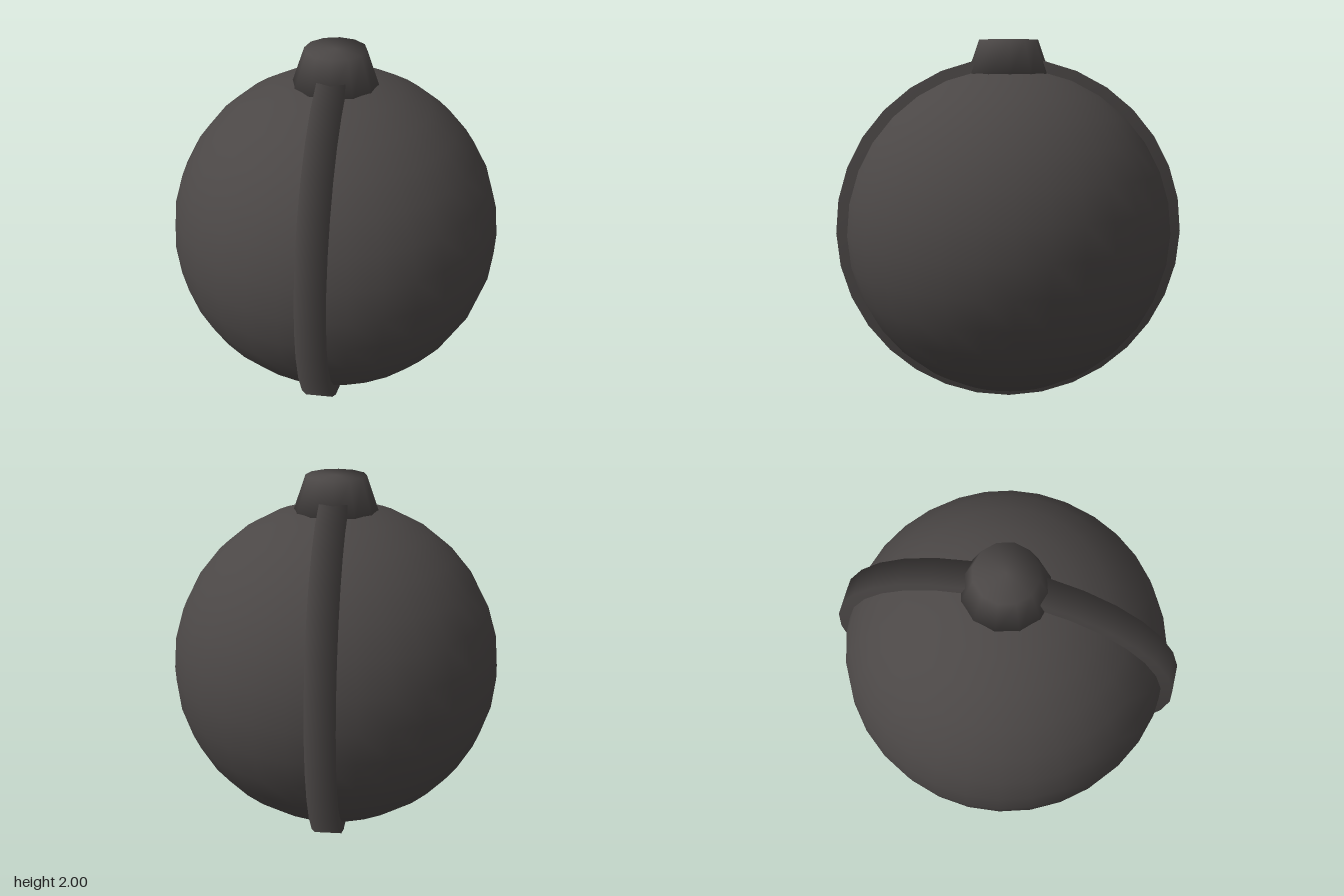
import * as THREE from 'three';
import { mergeVertices } from 'three/addons/utils/BufferGeometryUtils.js';

const CENTER_Y = 0.953;

// Cylinder whose rims are welded, so shading rolls softly over the edges
function softCylinder(rTop, rBottom, height, sides) {
  const g = new THREE.CylinderGeometry(rTop, rBottom, height, sides);
  g.deleteAttribute('uv');
  g.deleteAttribute('normal');
  const welded = mergeVertices(g, 1e-4);
  welded.computeVertexNormals();
  return welded;
}

export function createModel() {
  const group = new THREE.Group();
  const charcoal = new THREE.MeshStandardMaterial({ color: 0x4b4746 });
  charcoal.name = 'charcoal';

  const add = (name, geometry, y) => {
    const mesh = new THREE.Mesh(geometry, charcoal);
    mesh.name = name;
    mesh.position.y = y;
    group.add(mesh);
    return mesh;
  };

  // Round body
  add('body', new THREE.SphereGeometry(0.896, 32, 16), CENTER_Y + 0.002);

  // Flat band running front to back around the body
  const band = add('band', softCylinder(0.953, 0.953, 0.145, 32), CENTER_Y);
  band.rotation.z = Math.PI / 2;

  // Tapered neck, its base sunk into the body
  add('neck', softCylinder(0.16, 0.23, 0.2, 12), 1.9);

  return group;
}
